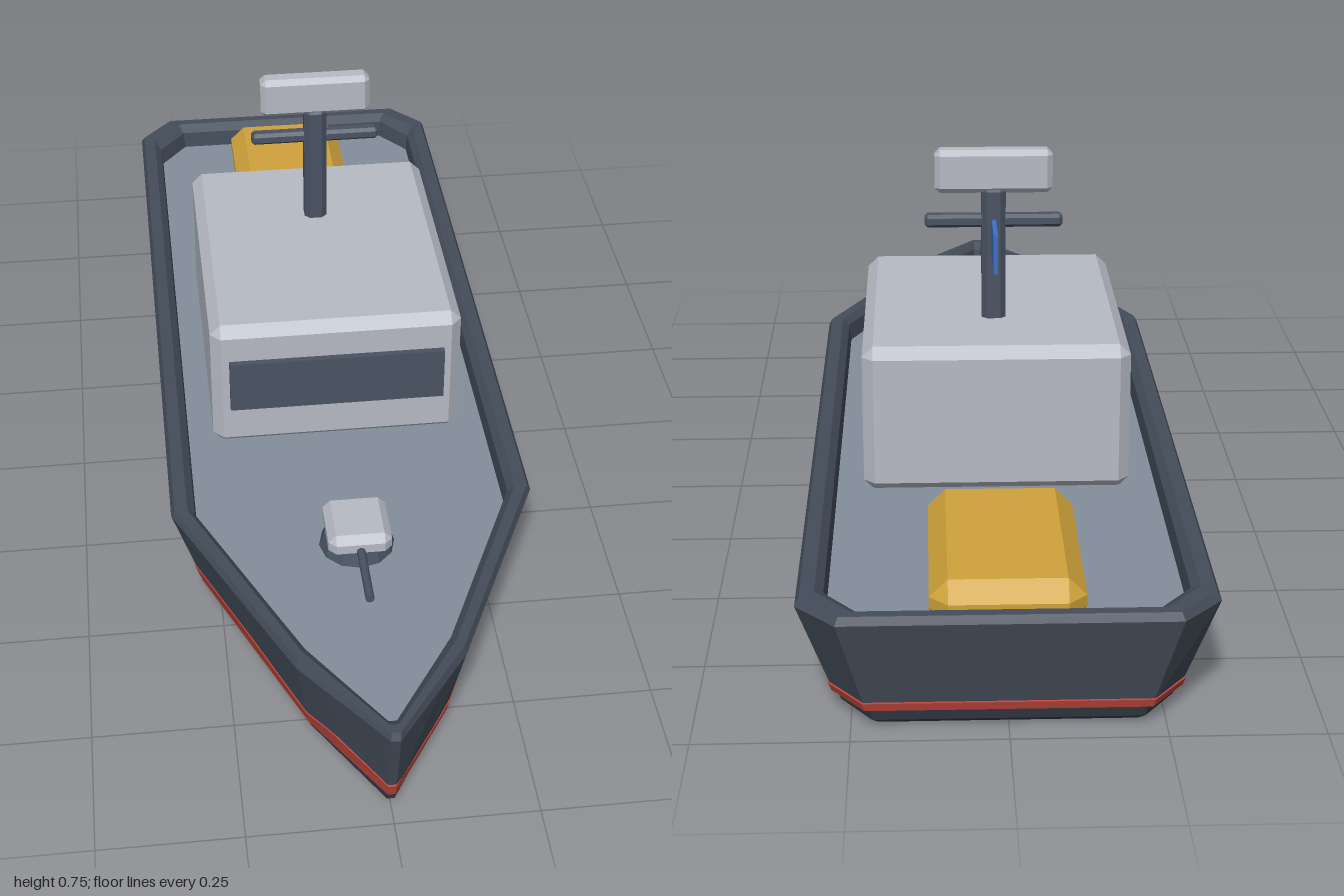
import * as THREE from 'three';
import { ConvexGeometry } from 'three/addons/geometries/ConvexGeometry.js';

const paint = (name, color) => Object.assign(new THREE.MeshStandardMaterial({ color }), { name });

// Half outline of the gunwale, bow to stern: x, z, paint line height on left and right
const HALF = [
  [0.008, 1, 0.06, 0.06], [0.095, 0.886, 0.05, 0.072], [0.145, 0.82, 0.06, 0.06],
  [0.185, 0.734, 0.05, 0.065], [0.24, 0.615, 0.057, 0.075], [0.335, 0.41, 0.065, 0.075],
  [0.335, 0.4, 0.048, 0.048], [0.335, -0.93, 0.048, 0.048], [0.27, -1, 0.048, 0.048],
];
const OUTLINE = [
  ...HALF.map(([x, z, h]) => ({ x, z, h })),
  ...HALF.map(([x, z, , h]) => ({ x: -x, z, h })).reverse(),
];

// One outline point narrowed by factor w, with its ends pulled in by s
function place(p, w, s, y) {
  const pull = p.z > 0 ? THREE.MathUtils.clamp((p.z - 0.41) / 0.41, 0, 1) : p.z < -0.5 ? -1 : 0;
  return [p.x * w, y, p.z - s * pull];
}
const ring = (w, s, y) => OUTLINE.map((p) => place(p, w, s, y));

function facets(triangles) {
  const g = new THREE.BufferGeometry();
  g.setAttribute('position', new THREE.Float32BufferAttribute(triangles.flat(2), 3));
  g.computeVertexNormals();
  return g;
}

// Skin over a stack of rings
function loft(rings) {
  const tris = [];
  for (let k = 0; k + 1 < rings.length; k++) {
    const a = rings[k], b = rings[k + 1];
    a.forEach((p, i) => {
      const j = (i + 1) % a.length;
      tris.push([p, a[j], b[j]], [p, b[j], b[i]]);
    });
  }
  return facets(tris);
}

// Flat cap over one ring, facing up or down
function cap(r, up) {
  const c = [0, r[0][1], 0];
  return facets(r.map((p, i) => {
    const q = r[(i + 1) % r.length];
    return up ? [c, p, q] : [c, q, p];
  }));
}

// Box with every edge chamfered by c
function chamferBox(w, h, d, c) {
  const pts = [];
  for (const x of [-w / 2, w / 2]) for (const y of [-h / 2, h / 2]) for (const z of [-d / 2, d / 2]) {
    const ix = x - Math.sign(x) * c, iy = y - Math.sign(y) * c, iz = z - Math.sign(z) * c;
    pts.push(new THREE.Vector3(x, iy, iz), new THREE.Vector3(ix, y, iz), new THREE.Vector3(ix, iy, z));
  }
  return new ConvexGeometry(pts);
}

export function createModel() {
  const model = new THREE.Group();
  model.name = 'patrolBoat';
  const hullGrey = paint('hullGrey', 0x434c59);
  const keelGrey = paint('keelGrey', 0x343a45);
  const red = paint('waterlineRed', 0xb8443a);
  const deckGrey = paint('deckGrey', 0x838d9b);
  const lightGrey = paint('cabinGrey', 0xb6bac4);
  const darkGrey = paint('fittingGrey', 0x4a5363);
  const gold = paint('hatchGold', 0xcfa23a);
  const blue = paint('flagBlue', 0x3f6fc6);

  const add = (name, geometry, material, x = 0, y = 0, z = 0) => {
    const mesh = new THREE.Mesh(geometry, material);
    mesh.name = name;
    mesh.position.set(x, y, z);
    model.add(mesh);
    return mesh;
  };

  // Keel: chamfered underside
  const bottom = ring(0.76, 0.06, 0);
  add('keel', loft([bottom, ring(0.8, 0.045, 0.012), ring(0.815, 0.04, 0.033), ring(0.838, 0.037, 0.035)]), keelGrey);
  add('keelBottom', cap(bottom, false), keelGrey);

  // Flared sides, bevelled gunwale and inner bulwark
  const deckRing = ring(0.86, 0.05, 0.165);
  add('hull', loft([
    ring(0.838, 0.037, 0.035), ring(1, 0, 0.2), ring(0.98, 0.007, 0.213),
    ring(0.91, 0.025, 0.213), ring(0.87, 0.045, 0.2), deckRing,
  ]), hullGrey);
  add('deck', cap(deckRing, true), deckGrey);

  // Red band following the flare, with an uneven upper edge at the bow
  const band = (height, out) => OUTLINE.map((p) => {
    const y = height(p), t = (y - 0.035) / 0.165;
    return place(p, 0.838 + 0.162 * t + out * 2, 0.037 * (1 - t) - out, y);
  });
  add('waterline', loft([
    band(() => 0.033, 0), band(() => 0.034, 0.003), band((p) => p.h, 0.003), band((p) => p.h + 0.001, 0),
  ]), red);

  // Cabin and windscreen
  add('cabin', chamferBox(0.48, 0.275, 0.58, 0.02), lightGrey, 0, 0.2975, -0.12);
  add('windscreen', new THREE.BoxGeometry(0.412, 0.108, 0.02), darkGrey, 0, 0.309, 0.172);

  // Mast with yard, radar and flag
  add('mast', chamferBox(0.044, 0.26, 0.044, 0.01), darkGrey, 0, 0.555, -0.22);
  add('yard', chamferBox(0.252, 0.024, 0.026, 0.006), darkGrey, 0, 0.618, -0.22);
  add('radar', chamferBox(0.214, 0.08, 0.042, 0.01), lightGrey, 0, 0.712, -0.22);
  add('flag', new THREE.BoxGeometry(0.008, 0.072, 0.115), blue, 0, 0.588, -0.285);

  // Stern hatch
  add('hatch', chamferBox(0.25, 0.08, 0.41, 0.03), gold, 0, 0.193, -0.735);

  // Deck gun
  const base = new THREE.CylinderGeometry(0.06, 0.07, 0.03, 12).toNonIndexed();
  base.computeVertexNormals();
  add('gunBase', base, darkGrey, 0, 0.178, 0.48);
  add('gunTurret', chamferBox(0.116, 0.046, 0.125, 0.014), lightGrey, 0, 0.207, 0.483);
  const barrel = add('gunBarrel', new THREE.CylinderGeometry(0.008, 0.008, 0.15, 8), darkGrey, 0, 0.202, 0.595);
  barrel.rotation.x = Math.PI / 2;

  return model;
}
